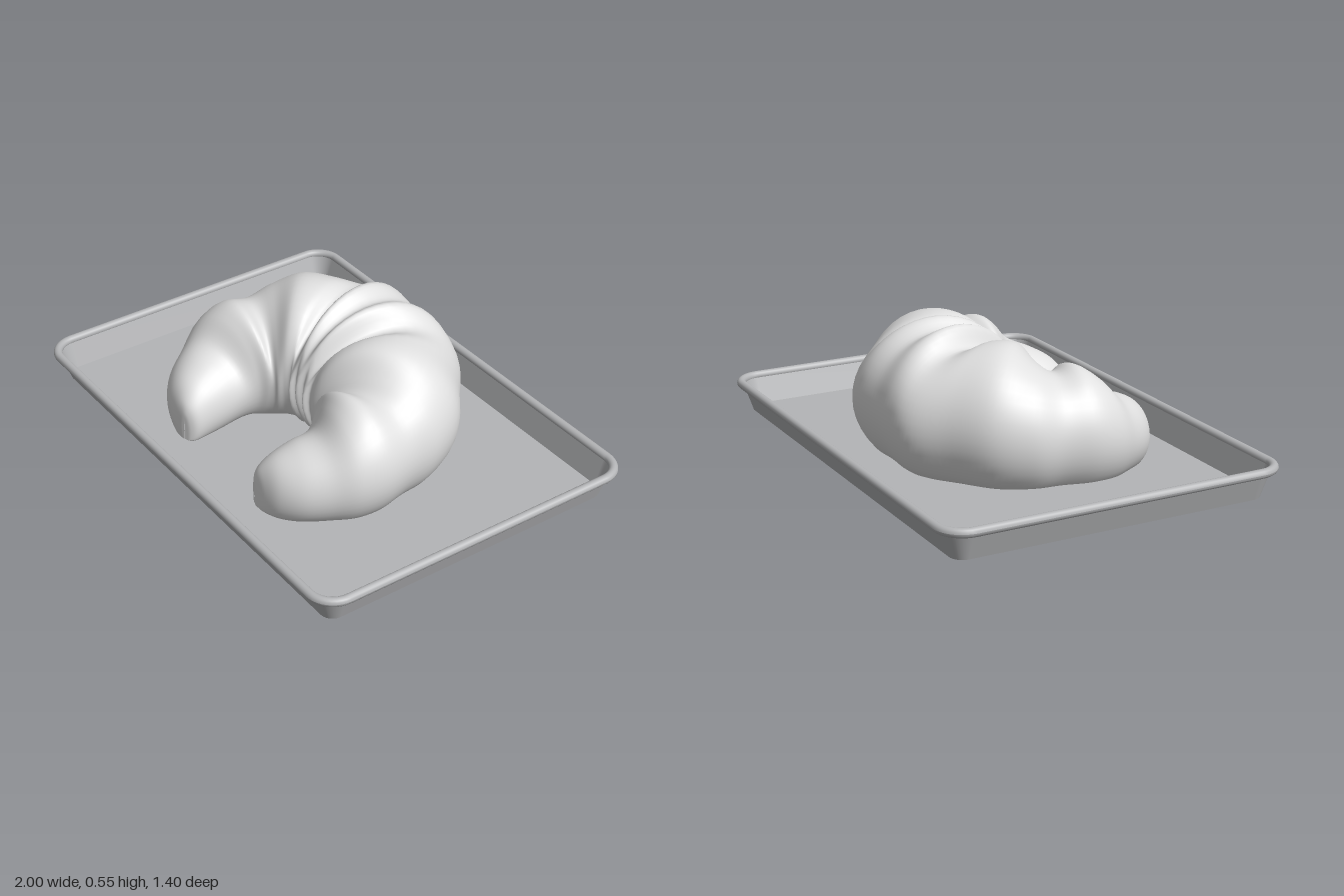
import * as THREE from 'three';

const pastryMat = new THREE.MeshStandardMaterial({ color: 0xe0e0e0 });
pastryMat.name = 'pale pastry';
const trayMat = new THREE.MeshStandardMaterial({ color: 0xb4b5b7 });
trayMat.name = 'tray grey';

function addMesh(parent, geometry, material, name) {
  const mesh = new THREE.Mesh(geometry, material);
  mesh.name = name;
  parent.add(mesh);
}

// Rounded rectangle of the tray, grown outwards by o; returns [x, z] pairs, anticlockwise from above
function trayOutline(o) {
  const r = 0.045 + o, pts = [];
  const corners = [[1, -1], [-1, -1], [-1, 1], [1, 1]];
  corners.forEach(([sx, sz], c) => {
    for (let k = 0; k <= 10; k++) {
      const a = (c + k / 10) * Math.PI / 2;
      pts.push([sx * 0.885 + r * Math.cos(a), sz * 0.585 - r * Math.sin(a)]);
    }
  });
  return pts;
}

// Joins equal rings of points into a smooth skin
function skin(rings, flip) {
  const n = rings[0].length, index = [];
  for (let i = 0; i < rings.length - 1; i++) {
    for (let j = 0; j < n; j++) {
      const a = i * n + j, b = i * n + (j + 1) % n, c = a + n, d = b + n;
      if (flip) index.push(a, c, b, b, c, d);
      else index.push(a, b, c, b, d, c);
    }
  }
  const g = new THREE.BufferGeometry();
  g.setAttribute('position', new THREE.Float32BufferAttribute(rings.flat(2), 3));
  g.setIndex(index);
  g.computeVertexNormals();
  return g;
}

// Sweeps a profile of [offset, height] around the tray
const sweep = (profile) => skin(profile.map(([o, y]) => trayOutline(o).map(([x, z]) => [x, y, z])), false);

function createTray() {
  const tray = new THREE.Group();
  tray.name = 'tray';
  addMesh(tray, sweep([[0.006, 0], [0.045, 0.115]]), trayMat, 'outerWall');
  addMesh(tray, sweep([[0.037, 0.118], [0, 0.012]]), trayMat, 'innerWall');
  const bead = [];
  for (let k = 0; k <= 16; k++) {
    const a = k / 16 * Math.PI * 2;
    bead.push([0.052 + 0.018 * Math.cos(a), 0.117 + 0.018 * Math.sin(a)]);
  }
  addMesh(tray, sweep(bead), trayMat, 'rolledRim');
  const plate = (o) => new THREE.ShapeGeometry(
    new THREE.Shape(trayOutline(o).map(([x, z]) => new THREE.Vector2(x, -z))));
  addMesh(tray, plate(0).rotateX(-Math.PI / 2).translate(0, 0.012, 0), trayMat, 'floor');
  addMesh(tray, plate(0.006).rotateX(Math.PI / 2), trayMat, 'underside');
  return tray;
}

// Half of the crescent: inner x, inner z, outer x, outer z, top height, crease depth
const stations = [
  [0, 0.135, 0, -0.5, 0.54, 0.04],
  [0.025, 0.115, 0.13, -0.503, 0.55, 0],
  [0.045, 0.135, 0.24, -0.48, 0.51, 0.05],
  [0.065, 0.115, 0.36, -0.385, 0.51, 0],
  [0.09, 0.125, 0.5, -0.27, 0.51, 0],
  [0.11, 0.14, 0.57, -0.13, 0.475, 0.04],
  [0.13, 0.145, 0.585, 0, 0.435, 0.04],
  [0.15, 0.16, 0.612, 0.13, 0.43, 0],
  [0.18, 0.185, 0.595, 0.24, 0.39, 0],
  [0.197, 0.23, 0.54, 0.33, 0.325, 0.02],
  [0.195, 0.31, 0.475, 0.42, 0.275, 0],
  [0.195, 0.39, 0.4, 0.475, 0.235, 0],
  [0.2, 0.45, 0.33, 0.495, 0.185, 0],
  [0.22, 0.478, 0.275, 0.496, 0.14, 0],
  [0.248, 0.49, 0.25, 0.491, 0.09, 0],
];

function createPastry() {
  const mirrored = stations.slice(1).reverse().map(([a, b, c, ...rest]) => [-a, b, -c, ...rest]);
  const all = [...mirrored, ...stations];
  const curve = (pts) => new THREE.CatmullRomCurve3(pts, false, 'catmullrom', 0.5);
  const inner = curve(all.map((s) => new THREE.Vector3(s[0], s[5], s[1])));
  const outer = curve(all.map((s) => new THREE.Vector3(s[2], s[4], s[3])));
  const rings = [], steps = (all.length - 1) * 6, sides = 44;
  for (let i = 0; i <= steps; i++) {
    const p = inner.getPoint(i / steps), q = outer.getPoint(i / steps), ring = [];
    for (let j = 0; j < sides; j++) {
      const a = j / sides * Math.PI * 2;
      const t = 0.5 + 0.5 * Math.cos(a), up = Math.sin(a);
      // Folds are deepest on the inner shoulder; the base rests flat on the tray
      const y = q.y * (0.43 + 0.57 * up) - p.y * Math.max(0, up) * (1 - t) * 1.5;
      ring.push([THREE.MathUtils.lerp(p.x, q.x, t), Math.max(0.014, y), THREE.MathUtils.lerp(p.z, q.z, t)]);
    }
    rings.push(ring);
  }
  return skin(rings, false);
}

export function createModel() {
  const model = new THREE.Group();
  model.name = 'pastryOnTray';
  model.add(createTray());
  addMesh(model, createPastry(), pastryMat, 'crescentPastry');
  return model;
}
